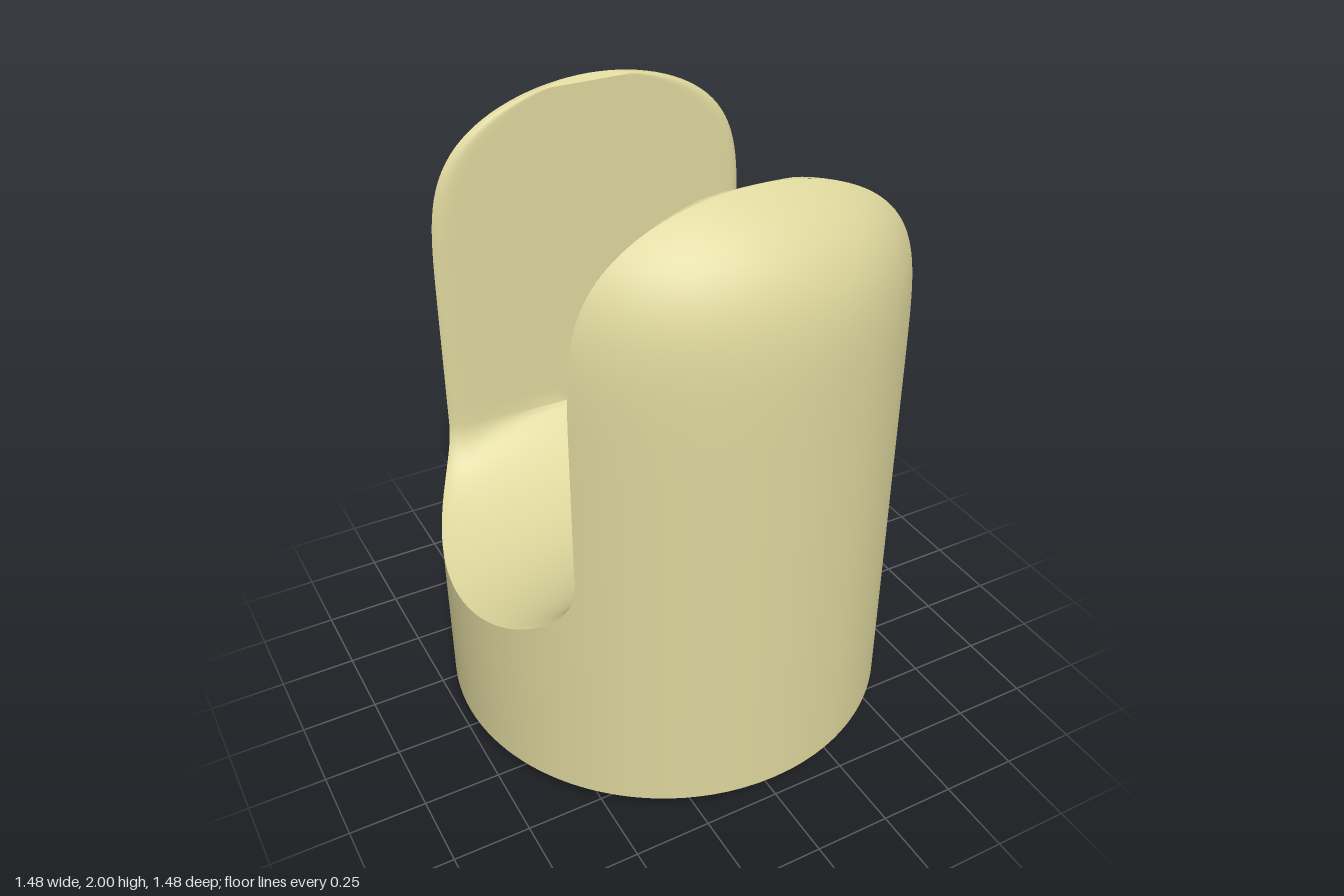
import * as THREE from 'three';
import { mergeGeometries, toCreasedNormals } from 'three/addons/utils/BufferGeometryUtils.js';

const R = 0.74;        // body radius
const BASE = 0.07;     // underside of the body
const SLOT = 0.49;     // half width of the slot at its outer edge
const BEVEL = 0.02;    // the slot walls stand this much closer together
const lerp = THREE.MathUtils.lerp;

// Domed outline: radius at a height, and height at a radius
const radiusAt = (y) => R * (1 - 0.338 * Math.pow(Math.max(0, (y - 1.2) / 0.8), 5.5));
const heightAt = (r) => 1.2 + 0.8 * Math.pow(Math.max(0, (1 - r / R) / 0.338), 1 / 5.5);

// Surface from a rule f(u, v), facing along du x dv
function surface(nu, nv, f) {
  const positions = [], index = [];
  for (let i = 0; i <= nu; i++)
    for (let j = 0; j <= nv; j++) positions.push(...f(i / nu, j / nv));
  for (let i = 0; i < nu; i++)
    for (let j = 0; j < nv; j++) {
      const a = i * (nv + 1) + j, b = a + nv + 1;
      index.push(a, b, b + 1, a, b + 1, a + 1);
    }
  const g = new THREE.BufferGeometry();
  g.setAttribute('position', new THREE.Float32BufferAttribute(positions, 3));
  g.setIndex(index);
  return g;
}

// Outer skin of a prong, from the underside to the slot edge
function prongSkin() {
  const limit = Math.acos(SLOT / R);
  return surface(80, 36, (u, v) => {
    const k = 2 * u - 1;
    const angle = Math.sign(k) * limit * (1 - Math.pow(1 - Math.abs(k), 4));
    const top = heightAt(SLOT / Math.cos(angle));
    const y = lerp(BASE, top, 1 - Math.pow(1 - v, 1.8));
    const r = radiusAt(y);
    return [r * Math.sin(angle), y, r * Math.cos(angle)];
  });
}

// Outer skin below the open side of the slot
function sideSkin() {
  return surface(40, 6, (u, v) => {
    const phi = (u - 0.5) * Math.PI;
    const z = -SLOT * Math.sin(phi);
    return [Math.sqrt(R * R - z * z), lerp(BASE, 0.88 - 0.31 * Math.cos(phi), v), z];
  });
}

// Across the slot, with closer steps near the bevelled edges
const across = (v) => Math.sin((v - 0.5) * Math.PI);
const edge = (k) => Math.pow(Math.abs(k), 30);

// Inner face of the back prong, from the tip down
function slotWall() {
  return surface(40, 32, (u, v) => {
    const k = across(v);
    const y = lerp(2, 0.86 + 0.02 * k * k, u * u);
    const r = radiusAt(y);
    const x = k * Math.sqrt(Math.max(0, r * r - SLOT * SLOT));
    const bevel = Math.max(edge(k), THREE.MathUtils.clamp((y - 1.985) / 0.015, 0, 1));
    return [x, y, -(SLOT - BEVEL + BEVEL * bevel)];
  });
}

// Saddle-shaped trough: highest along the middle, dropping to the rim
function slotFloor() {
  return surface(40, 32, (u, v) => {
    const k = across(v);
    const phi = (u - 0.5) * Math.PI, s = Math.sin(phi);
    const y = lerp(0.68 + 0.18 * s * s, 0.88 - 0.31 * Math.cos(phi), k * k);
    const x = k * Math.sqrt(R * R - SLOT * SLOT * s * s);
    return [x, y, s * (SLOT - BEVEL + BEVEL * edge(k))];
  });
}

export function createModel() {
  const model = new THREE.Group();
  const cream = new THREE.MeshStandardMaterial({ color: 0xdcd59c });
  cream.name = 'cream';

  const add = (name, geometry) => {
    const mesh = new THREE.Mesh(geometry, cream);
    mesh.name = name;
    model.add(mesh);
    return mesh;
  };
  const pair = (make) => [make(), make().rotateY(Math.PI)];

  // Slotted body
  add('outerShell', toCreasedNormals(mergeGeometries([...pair(prongSkin), ...pair(sideSkin)]), 0.6));
  add('slot', toCreasedNormals(mergeGeometries([...pair(slotWall), slotFloor()]), 0.6));

  // Flat underside
  add('underside', new THREE.CircleGeometry(R, 96).rotateX(Math.PI / 2).translate(0, BASE, 0));

  // Short locating peg
  const peg = new THREE.CylinderGeometry(0.122, 0.122, BASE, 16);
  add('peg', toCreasedNormals(peg, 0.6)).position.y = BASE / 2;

  return model;
}
